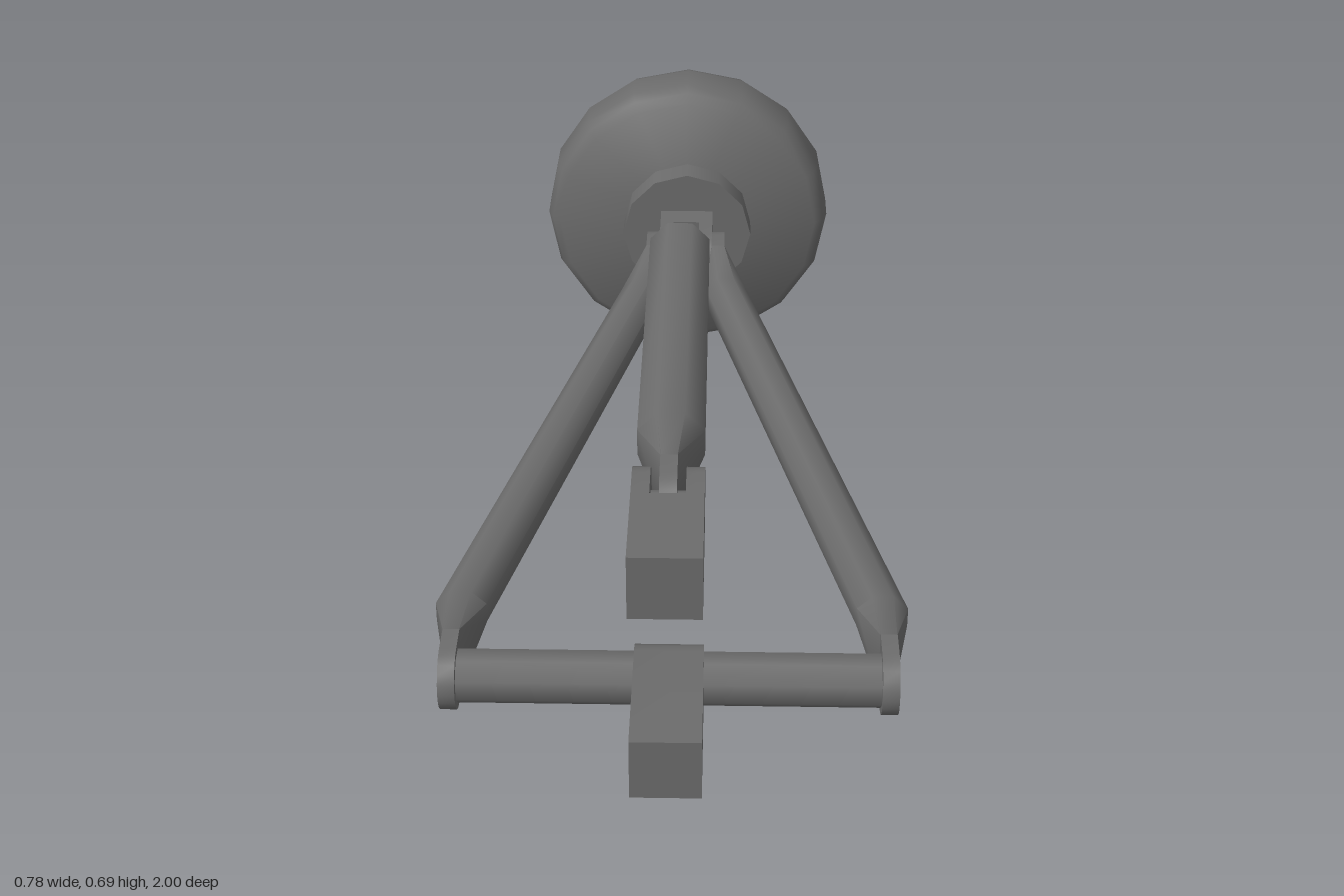
import * as THREE from 'three';
import { toCreasedNormals } from 'three/addons/utils/BufferGeometryUtils.js';

const CREASE = 0.82;
const Y_LOW = 0.307, Y_HIGH = 0.641; // heights of the two strut levels
const H = 0.107;                     // height of every block and flattened end
const PIN_FRONT = 0.775, PIN_REAR = -0.67;

// Flat lug seen from the side: square at zFlat, rounded around the pin at zPin
function lug(width, x, y, zPin, zFlat) {
  const r = H / 2, dir = Math.sign(zPin - zFlat);
  const shape = new THREE.Shape();
  shape.moveTo(zFlat, -r);
  for (let i = 0; i <= 10; i++) {
    const a = -Math.PI / 2 + (Math.PI * i) / 10;
    shape.lineTo(zPin + dir * Math.cos(a) * r, Math.sin(a) * r);
  }
  shape.lineTo(zFlat, r);
  const g = new THREE.ExtrudeGeometry(shape, { depth: width, bevelEnabled: false });
  g.translate(0, 0, -width / 2);
  g.rotateY(-Math.PI / 2);
  g.translate(x, y, 0);
  return toCreasedNormals(g, CREASE);
}

// Eight-point section; flat ends become rectangles, tube parts are octagons
function section({ x, z, w, h, flat }, y) {
  const kx = flat ? 0.96 : 0.414, ky = flat ? 0.98 : 0.414;
  const a = w / 2, b = h / 2;
  return [[a, -b * ky], [a, b * ky], [a * kx, b], [-a * kx, b],
    [-a, b * ky], [-a, -b * ky], [-a * kx, -b], [a * kx, -b]]
    .map(([px, py]) => [x + px, y + py, z]);
}

// Strut skinned through sections listed from rear to front
function strut(stations, y) {
  const pos = [], idx = [], n = 8, last = stations.length - 1;
  stations.forEach((s) => section(s, y).forEach((p) => pos.push(...p)));
  for (let s = 0; s < last; s++) {
    for (let i = 0; i < n; i++) {
      const a = s * n + i, b = s * n + (i + 1) % n;
      idx.push(a, b, b + n, a, b + n, a + n);
    }
  }
  for (let i = 1; i < n - 1; i++) {
    idx.push(0, i + 1, i);
    idx.push(last * n, last * n + i, last * n + i + 1);
  }
  const g = new THREE.BufferGeometry();
  g.setAttribute('position', new THREE.Float32BufferAttribute(pos, 3));
  g.setIndex(idx);
  return toCreasedNormals(g, CREASE);
}

// Cylinder lying along x
function barX(radius, length, y, z, sides) {
  const g = new THREE.CylinderGeometry(radius, radius, length, sides, 1, false, Math.PI / sides);
  g.rotateZ(Math.PI / 2);
  g.translate(0, y, z);
  return g;
}

export function createModel() {
  const root = new THREE.Group();
  root.name = 'landingLeg';
  const metal = new THREE.MeshStandardMaterial({ color: 0x6c6c6c });
  metal.name = 'darkGreyMetal';
  const add = (name, geometry) => {
    const m = new THREE.Mesh(geometry, metal);
    m.name = name;
    root.add(m);
  };
  const box = (name, y, z0, z1) => {
    const g = new THREE.BoxGeometry(0.11, H, z1 - z0);
    g.translate(0, y, (z0 + z1) / 2);
    add(name, g);
  };

  // Round foot pad and its hub
  const profile = [[0, -1], [0.277, -1], [0.294, -0.984], [0.304, -0.955], [0.304, -0.882],
    [0.294, -0.854], [0.277, -0.838], [0, -0.838]].map(([r, z]) => new THREE.Vector2(r, z));
  const pad = new THREE.LatheGeometry(profile, 16);
  pad.rotateX(Math.PI / 2);
  pad.translate(0, Y_LOW, 0);
  add('footPad', toCreasedNormals(pad, CREASE));
  const hub = new THREE.CylinderGeometry(0.137, 0.137, 0.06, 12);
  hub.rotateX(Math.PI / 2);
  hub.translate(0, Y_LOW, -0.81);
  add('footHub', hub);

  // Rear clevis on the foot and front clevis of the upper strut
  box('footClevisBase', Y_LOW, -0.785, -0.727);
  box('upperMountBlock', Y_HIGH, 0.832, 1);
  for (const s of [-1, 1]) {
    add('footClevisEar', lug(0.028, s * 0.041, Y_LOW, PIN_REAR, -0.727));
    add('upperMountEar', lug(0.028, s * 0.041, Y_HIGH, PIN_FRONT, 0.832));
  }
  add('footClevisPin', barX(0.018, 0.1, Y_LOW, PIN_REAR, 8));
  add('upperMountPin', barX(0.018, 0.1, Y_HIGH, PIN_FRONT, 8));

  // Lower mount block wrapped around the crossbar
  add('lowerMountBlock', lug(0.11, 0, Y_LOW, PIN_FRONT, 1));
  add('crossbar', barX(0.044, 0.68, Y_LOW, PIN_FRONT, 8));

  // Side struts of the A-frame with flattened lug ends
  for (const s of [-1, 1]) {
    add('sideStrut', strut([
      { x: s * 0.068, z: -0.62, w: 0.027, h: H, flat: true },
      { x: s * 0.084, z: -0.5, w: 0.083, h: 0.081 },
      { x: s * 0.346, z: 0.605, w: 0.084, h: 0.081 },
      { x: s * 0.3485, z: 0.725, w: 0.027, h: H, flat: true },
    ], Y_LOW));
    add('sideStrutRearLug', lug(0.027, s * 0.068, Y_LOW, PIN_REAR, -0.62));
    add('sideStrutFrontLug', lug(0.027, s * 0.3485, Y_LOW, PIN_FRONT, 0.725));
  }

  // Piston rod at the foot
  add('pistonRod', strut([
    { x: 0, z: -0.62, w: 0.027, h: H, flat: true },
    { x: 0, z: -0.5, w: 0.081, h: 0.081 },
    { x: 0, z: 0.15, w: 0.081, h: 0.081 },
  ], Y_LOW));
  add('pistonRodLug', lug(0.027, 0, Y_LOW, PIN_REAR, -0.62));

  // Upper cylinder
  add('upperCylinder', strut([
    { x: 0, z: -0.055, w: H, h: H },
    { x: 0, z: 0.605, w: H, h: H },
    { x: 0, z: 0.725, w: 0.027, h: H, flat: true },
  ], Y_HIGH));
  add('upperCylinderLug', lug(0.027, 0, Y_HIGH, PIN_FRONT, 0.725));

  return root;
}
